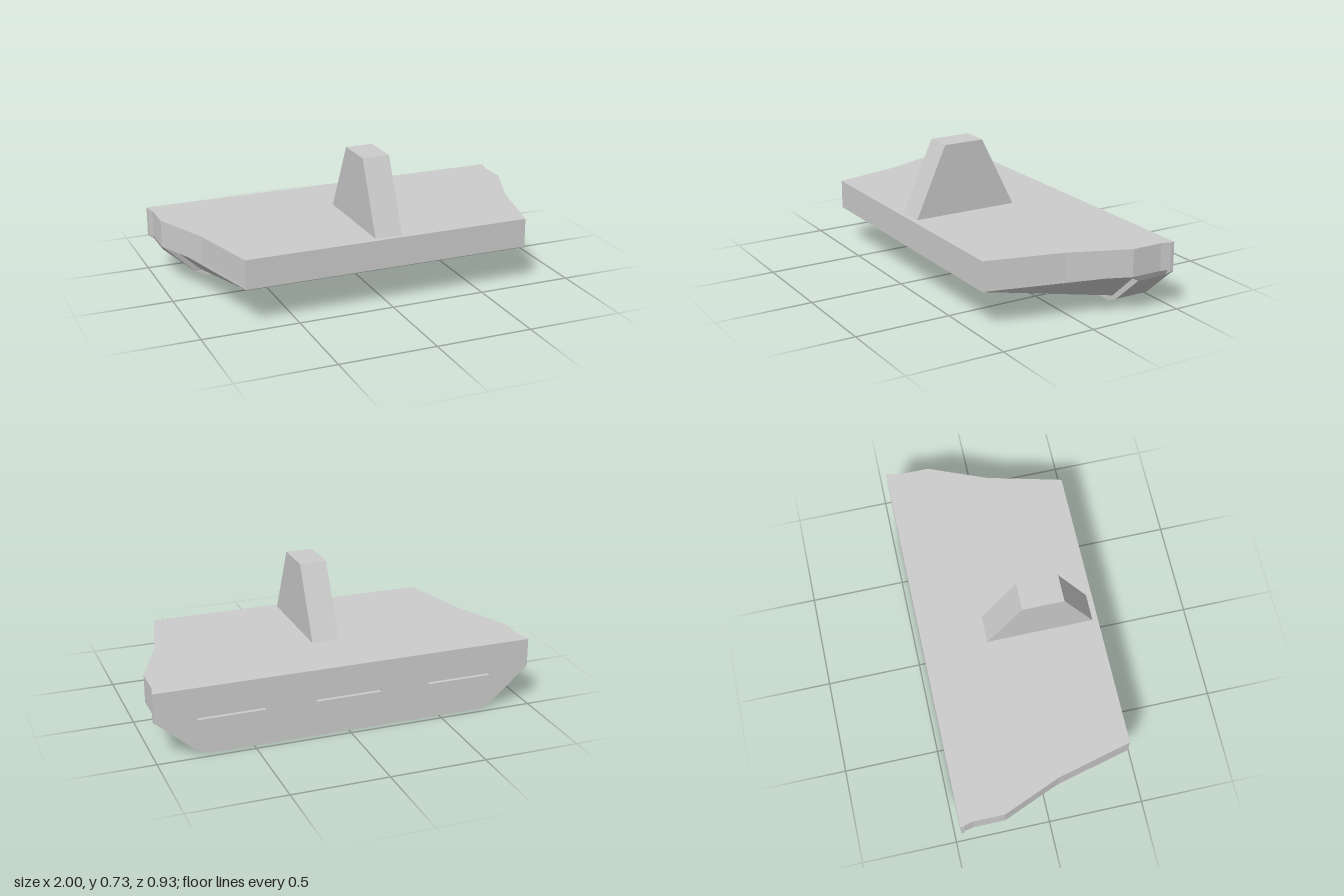
import * as THREE from 'three';

const material = new THREE.MeshStandardMaterial({ color: 0xcccccc, flatShading: true });

// Closed shape from the points of its +x half, mirrored to -x
function mirroredShape(half) {
  const other = half.map(([x, y]) => [-x, y]).reverse();
  return new THREE.Shape([...half, ...other].map(([x, y]) => new THREE.Vector2(x, y)));
}

function extrude(shape, depth) {
  return new THREE.ExtrudeGeometry(shape, { depth, bevelEnabled: false });
}

// Solid lofted between rings of equal length, listed from front to back
function loft(rings) {
  const n = rings[0].length;
  const index = [];
  for (let r = 0; r < rings.length - 1; r++) {
    for (let i = 0; i < n; i++) {
      const a = r * n + i, b = r * n + (i + 1) % n;
      index.push(a, a + n, b, b, a + n, b + n);
    }
  }
  const last = (rings.length - 1) * n;
  for (let i = 1; i < n - 1; i++) {
    index.push(0, i, i + 1, last, last + i + 1, last + i);
  }
  const geometry = new THREE.BufferGeometry();
  geometry.setAttribute('position', new THREE.Float32BufferAttribute(rings.flat(2), 3));
  geometry.setIndex(index);
  const flat = geometry.toNonIndexed();
  flat.computeVertexNormals();
  return flat;
}

export function createModel() {
  const model = new THREE.Group();
  const add = (name, geometry) => {
    const mesh = new THREE.Mesh(geometry, material);
    mesh.name = name;
    model.add(mesh);
    return mesh;
  };

  // Deck slab: plan outline drawn as (x, -z) and stood flat
  const deck = extrude(mirroredShape([
    [0.76, -0.467], [0.86, -0.07], [0.985, 0.235], [0.985, 0.4], [0.996, 0.447],
  ]), 0.142);
  deck.rotateX(-Math.PI / 2);
  add('deck', deck).position.y = 0.213;

  // Sloping underside: shallow at the front, deep and chamfered at the back
  const section = (z, bottomX, bottomY, topX) => [
    [-bottomX, bottomY, z], [bottomX, bottomY, z],
    [topX, 0.203, z], [topX, 0.213, z], [-topX, 0.213, z], [-topX, 0.203, z],
  ];
  add('slopingUnderside', loft([
    section(0.467, 0.76, 0.2025, 0.76),
    section(-0.29, 0.77, 0.036, 0.955),
  ]));

  // Rear block, with the top of its front edge leaning forward under the deck
  const lower = [[0.74, 0], [0.8, 0.03], [0.97, 0.18]];
  const block = extrude(mirroredShape([...lower, [0.985, 0.213]]), 0.167);
  block.translate(0, 0, -0.447);
  const p = block.attributes.position;
  for (let i = 0; i < p.count; i++) {
    if (p.getY(i) > 0.19 && p.getZ(i) > -0.3) p.setZ(i, -0.24);
  }
  block.computeVertexNormals();
  add('rearBlock', block);

  // Rear plate with three shallow slots
  const plateShape = mirroredShape([...lower, [1, 0.203], [1, 0.355]]);
  for (const x of [-0.61, 0, 0.61]) {
    const w = 0.175, y0 = 0.185, y1 = 0.205;
    plateShape.holes.push(new THREE.Path([
      [x - w, y0], [x - w, y1], [x + w, y1], [x + w, y0],
    ].map(([a, b]) => new THREE.Vector2(a, b))));
  }
  add('rearPlate', extrude(plateShape, 0.02)).position.z = -0.467;

  // Tapered fin: side profile drawn as (-z, y), then turned to run along z
  const fin = extrude(new THREE.Shape([
    [-0.44, 0.35], [0.132, 0.35], [-0.055, 0.725], [-0.272, 0.725],
  ].map(([a, b]) => new THREE.Vector2(a, b))), 0.144);
  fin.translate(0, 0, -0.072);
  fin.rotateY(Math.PI / 2);
  add('fin', fin);

  return model;
}
